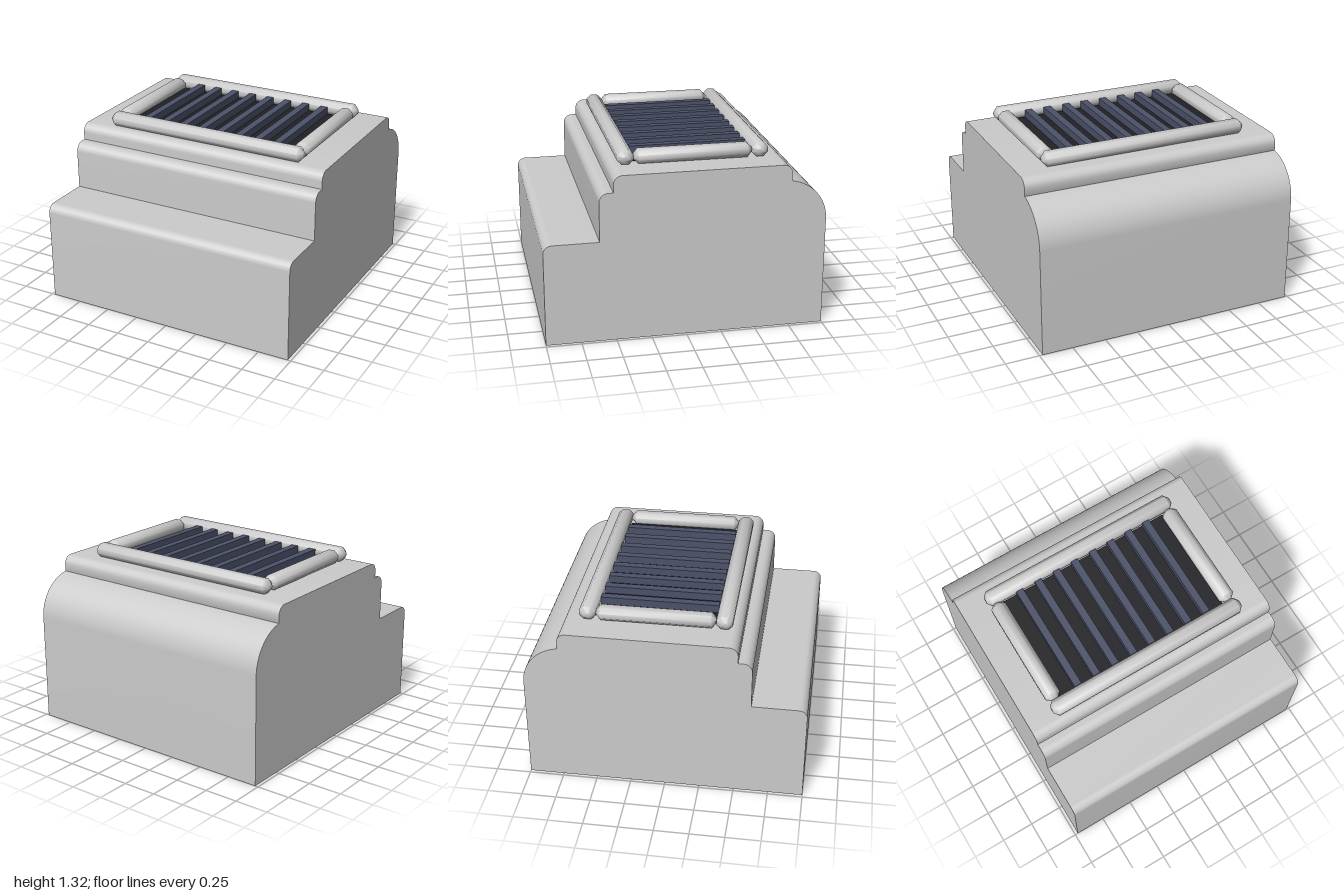
import * as THREE from 'three';
import { toCreasedNormals } from 'three/addons/utils/BufferGeometryUtils.js';

const WIDTH = 1.955;
const DECK = 1.215; // height of the flat top
const MID_Z = -0.09; // centre of the grille

const grey = new THREE.MeshStandardMaterial({ color: 0xcccccc });
const dark = new THREE.MeshStandardMaterial({ color: 0x212126 });
const blue = new THREE.MeshStandardMaterial({ color: 0x4c5269 });

function add(parent, name, geometry, material, x = 0, y = 0, z = 0) {
  const mesh = new THREE.Mesh(geometry, material);
  mesh.name = name;
  mesh.position.set(x, y, z);
  parent.add(mesh);
}

// Stepped side profile (z, y) swept across the width
function bodyGeometry() {
  const q = Math.PI / 2;
  const s = new THREE.Shape();
  s.moveTo(1, 0);
  s.lineTo(1, 0.685);
  s.absarc(0.94, 0.685, 0.06, 0, q); // front step
  s.lineTo(0.61, 0.745);
  s.absarc(0.545, 1.03, 0.065, 0, q); // upper step
  s.lineTo(0.51, 1.095);
  s.absarc(0.445, DECK - 0.065, 0.065, 0, q); // deck front edge
  s.absarc(-0.68, DECK - 0.065, 0.065, q, Math.PI); // deck back edge
  s.lineTo(-0.745, 1.097);
  s.absarc(-0.7, 0.8, 0.3, q + 0.15, Math.PI); // large rounded back
  s.lineTo(-1, 0);
  s.closePath();
  const g = new THREE.ExtrudeGeometry(s, { depth: WIDTH, bevelEnabled: false, curveSegments: 12 });
  g.translate(0, 0, -WIDTH / 2);
  g.rotateY(-Math.PI / 2);
  return toCreasedNormals(g, 0.5);
}

// Bar along z with an eight-sided section and chamfered ends
function barGeometry(width, height, length) {
  const c = 0.032;
  const x = width / 2, y = height / 2;
  const section = new THREE.Shape([
    [x, c - y], [x, y - c], [x - c, y], [c - x, y],
    [-x, y - c], [-x, c - y], [c - x, -y], [x - c, -y],
  ].map(([px, py]) => new THREE.Vector2(px, py)));
  const g = new THREE.ExtrudeGeometry(section, {
    depth: length - 2 * c, bevelThickness: c, bevelSize: c, bevelOffset: -c, bevelSegments: 1,
  });
  g.translate(0, 0, c - length / 2);
  return toCreasedNormals(g, 0.9);
}

export function createModel() {
  const model = new THREE.Group();
  add(model, 'body', bodyGeometry(), grey);

  // Raised frame: four chamfered bars
  const frame = new THREE.Group();
  frame.name = 'grilleFrame';
  const h = 0.1;
  const longBar = barGeometry(0.115, h, 1.565).rotateY(Math.PI / 2);
  const shortBar = barGeometry(0.115, h, 0.84);
  for (const side of [1, -1]) {
    add(frame, side > 0 ? 'frontBar' : 'backBar', longBar, grey, 0, DECK + h / 2, MID_Z + side * 0.48);
    add(frame, side > 0 ? 'leftBar' : 'rightBar', shortBar, grey, side * 0.725, DECK + h / 2, MID_Z);
  }
  model.add(frame);

  // Dark panel with slats running front to back
  const grille = new THREE.Group();
  grille.name = 'grille';
  add(grille, 'panel', new THREE.BoxGeometry(1.37, 0.02, 0.845), dark, 0, DECK + 0.005, MID_Z);
  const slat = new THREE.BoxGeometry(0.055, 0.06, 0.84);
  for (let i = 0; i < 8; i++) {
    add(grille, 'slat', slat, blue, (i - 3.5) * 0.1525, DECK + 0.04, MID_Z);
  }
  model.add(grille);
  return model;
}
